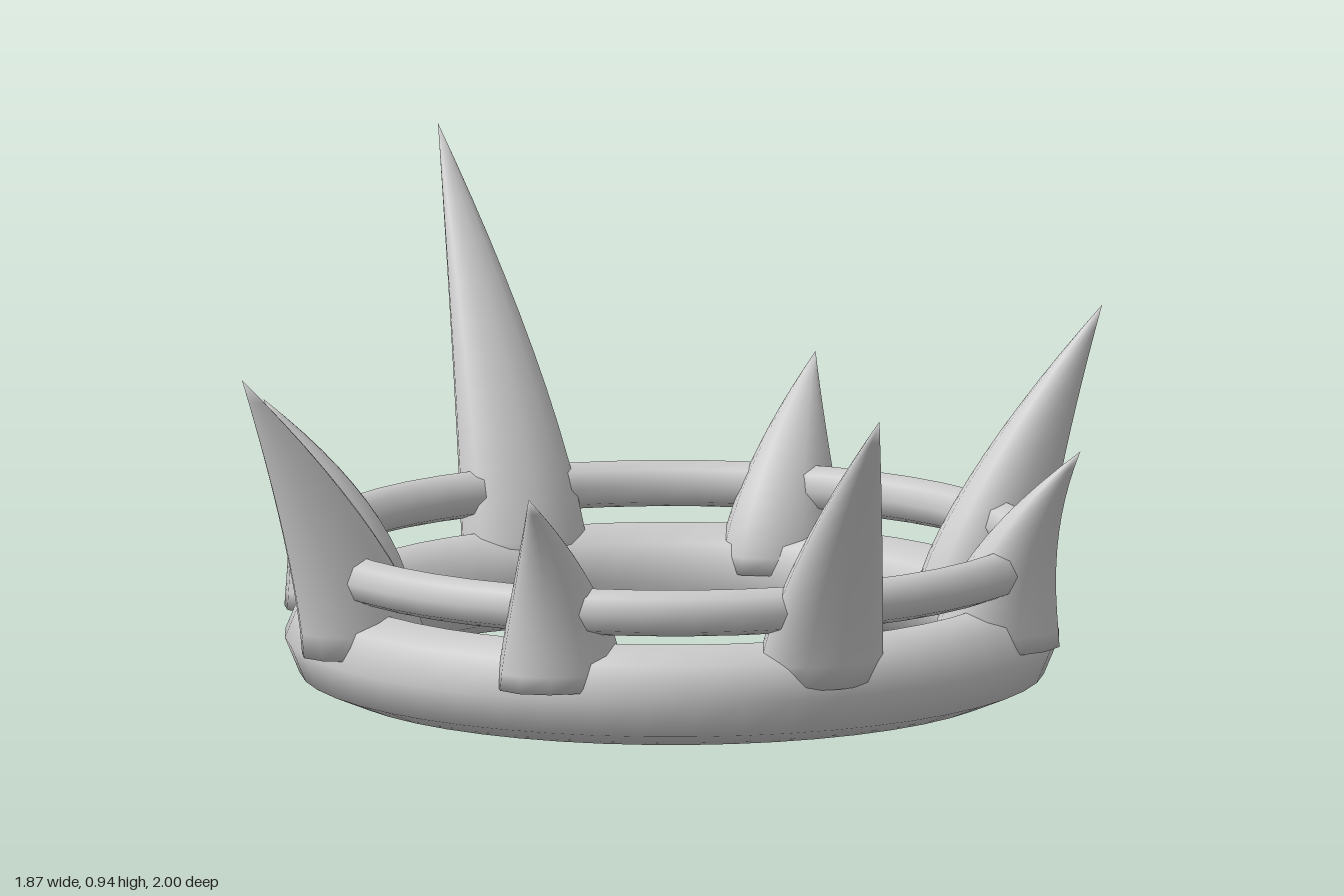
import * as THREE from 'three';
import { mergeVertices } from 'three/addons/utils/BufferGeometryUtils.js';

const CENTER_Z = 0.06; // the band sits slightly forward, balancing the long rear horn
const BASE_Y = 0.115;

// Horn: a cone whose rings swell and drift along a curve from base to tip.
function hornGeometry(base, half, tip, bend) {
  const geo = new THREE.ConeGeometry(1, 1, 12, 12);
  geo.deleteAttribute('uv');
  geo.deleteAttribute('normal');
  const p = geo.attributes.position;
  for (let i = 0; i < p.count; i++) {
    const f = Math.min(1, Math.max(0, p.getY(i) + 0.5));
    const swell = f > 0.999 ? 0 : (1 - f ** 1.45) / (1 - f);
    const drift = f ** bend;
    p.setXYZ(
      i,
      base[0] + (tip[0] - base[0]) * drift + p.getX(i) * swell * half[0],
      BASE_Y + (tip[1] - BASE_Y) * f,
      base[1] + (tip[2] - base[1]) * drift + p.getZ(i) * swell * half[1]
    );
  }
  const merged = mergeVertices(geo, 1e-5);
  merged.computeVertexNormals();
  return merged;
}

export function createModel() {
  const group = new THREE.Group();
  const metal = new THREE.MeshStandardMaterial({ color: 0xcccccc });
  metal.name = 'pale grey metal';

  const add = (name, geometry) => {
    const mesh = new THREE.Mesh(geometry, metal);
    mesh.name = name;
    group.add(mesh);
    return mesh;
  };

  // Thick lower band and slim upper rail
  const ring = (name, radius, tube, y) => {
    const geo = new THREE.TorusGeometry(radius, tube, 8, 48);
    geo.rotateX(-Math.PI / 2);
    add(name, geo).position.set(0, y, CENTER_Z);
  };
  ring('lowerBand', 0.66, 0.1, 0.1);
  ring('upperRail', 0.7, 0.046, 0.27);

  // Front and rear horns
  add('frontHorn', hornGeometry([0, 0.725], [0.135, 0.093], [0, 0.68, 1], 1.4));
  add('rearHorn', hornGeometry([0, -0.6], [0.135, 0.093], [0, 0.94, -1], 1.4));

  // Side horns and short diagonal horns, mirrored left and right
  for (const s of [1, -1]) {
    const side = s > 0 ? 'left' : 'right';
    add(side + 'SideHorn',
      hornGeometry([s * 0.665, CENTER_Z], [0.135, 0.093], [s * 0.935, 0.68, CENTER_Z], 1.4));
    for (const d of [1, -1]) {
      add(side + (d > 0 ? 'Front' : 'Rear') + 'DiagonalHorn',
        hornGeometry([s * 0.472, CENTER_Z + d * 0.482], [0.133, 0.1],
          [s * 0.6, 0.515, CENTER_Z + d * 0.6], 2));
    }
  }
  return group;
}
